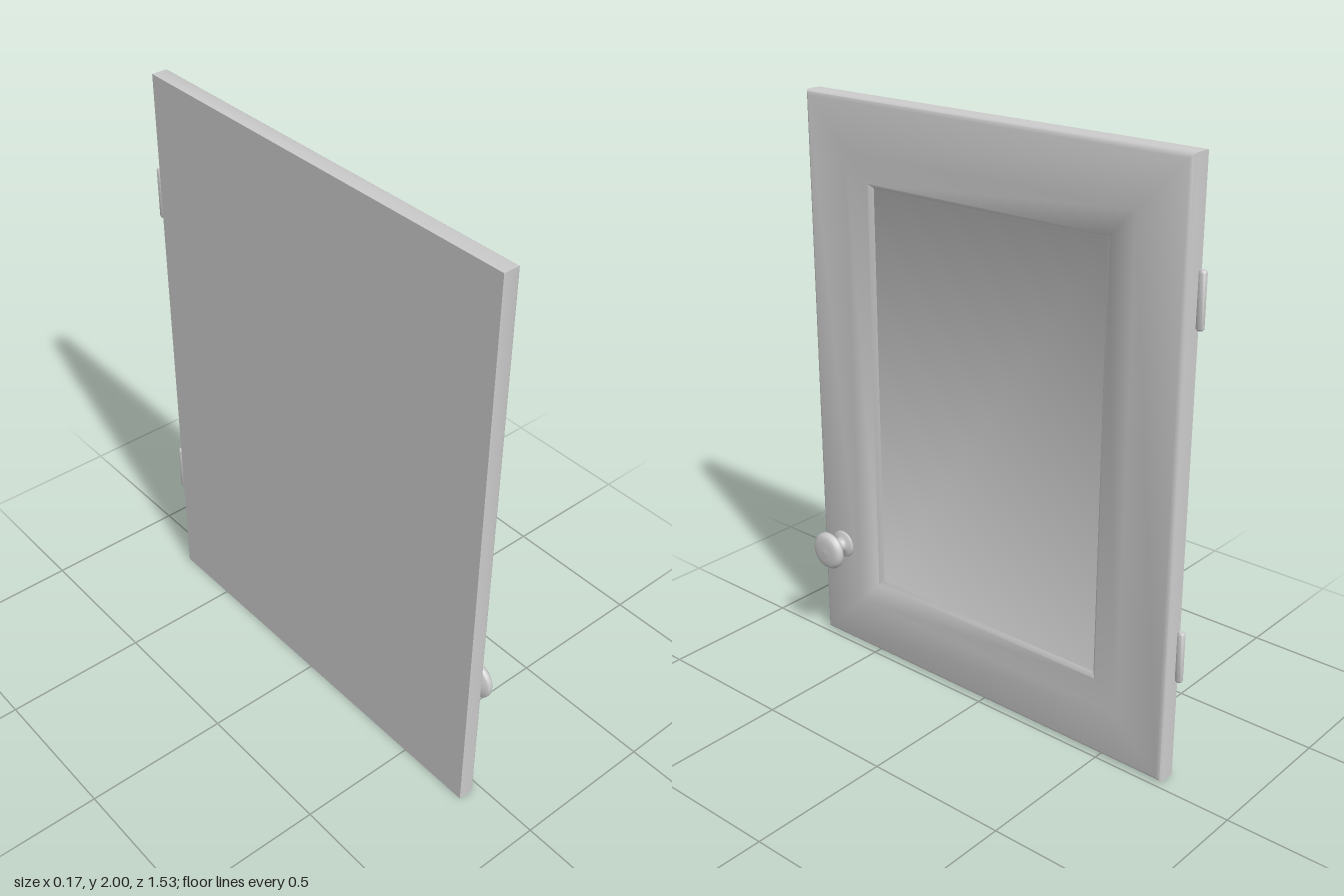
import * as THREE from 'three';
import { toCreasedNormals } from 'three/addons/utils/BufferGeometryUtils.js';

const material = new THREE.MeshStandardMaterial({ color: 0xcccccc });

function addMesh(parent, name, geometry) {
  const mesh = new THREE.Mesh(geometry, material);
  mesh.name = name;
  parent.add(mesh);
  return mesh;
}

// Door slab: mitred rectangular rings from the back, over the bevel, to the recessed panel
function doorGeometry() {
  const zMin = -0.74, zMax = 0.765, height = 2;
  const rings = [ // [inset, x]
    [0, -0.085], [0, -0.033], [0.006, -0.024], [0.017, -0.018],
    [0.18, -0.018], [0.272, -0.024], [0.286, -0.038],
  ];
  const positions = [], index = [];
  for (const [inset, x] of rings) {
    positions.push(
      x, inset, zMax - inset,
      x, inset, zMin + inset,
      x, height - inset, zMin + inset,
      x, height - inset, zMax - inset);
  }
  for (let r = 0; r < rings.length - 1; r++) {
    for (let i = 0; i < 4; i++) {
      const a = r * 4 + i, b = r * 4 + (i + 1) % 4;
      index.push(a, b, b + 4, a, b + 4, a + 4);
    }
  }
  const last = (rings.length - 1) * 4;
  index.push(last, last + 1, last + 2, last, last + 2, last + 3); // panel
  index.push(0, 2, 1, 0, 3, 2); // back
  const geometry = new THREE.BufferGeometry();
  geometry.setAttribute('position', new THREE.Float32BufferAttribute(positions, 3));
  geometry.setIndex(index);
  return toCreasedNormals(geometry, 0.9);
}

// Turned knob: [radius, x] profile
function knobGeometry() {
  const profile = [
    [0, -0.022], [0.048, -0.022], [0.05, -0.012], [0.046, -0.006], [0.032, -0.004],
    [0.024, 0.004], [0.022, 0.012], [0.026, 0.024], [0.035, 0.034], [0.044, 0.04],
    [0.062, 0.046], [0.068, 0.053], [0.068, 0.062], [0.062, 0.071], [0.054, 0.077],
    [0.035, 0.08], [0, 0.082],
  ].map(([r, x]) => new THREE.Vector2(r, x));
  const geometry = new THREE.LatheGeometry(profile, 32);
  geometry.rotateZ(-Math.PI / 2);
  return geometry;
}

// Hinge: rounded barrel with a thin leaf reaching the door edge
function createHinge(y) {
  const hinge = new THREE.Group();
  hinge.name = 'hinge';
  const h = 0.0875, r = 0.0125;
  const profile = [
    [0, -h], [r * 0.7, -h], [r, -h + 0.006], [r, h - 0.006], [r * 0.7, h], [0, h],
  ].map(([x, yy]) => new THREE.Vector2(x, yy));
  const barrel = addMesh(hinge, 'hingeBarrel',
    toCreasedNormals(new THREE.LatheGeometry(profile, 16), 0.6));
  barrel.position.z = -0.753;
  const leaf = addMesh(hinge, 'hingeLeaf', new THREE.BoxGeometry(0.006, 0.165, 0.014));
  leaf.position.z = -0.741;
  hinge.position.set(-0.073, y, 0);
  return hinge;
}

export function createModel() {
  const model = new THREE.Group();
  model.name = 'cabinetDoor';
  addMesh(model, 'doorPanel', doorGeometry());
  addMesh(model, 'knob', knobGeometry()).position.set(0, 0.385, 0.66);
  for (const y of [0.442, 1.583]) model.add(createHinge(y));
  return model;
}
